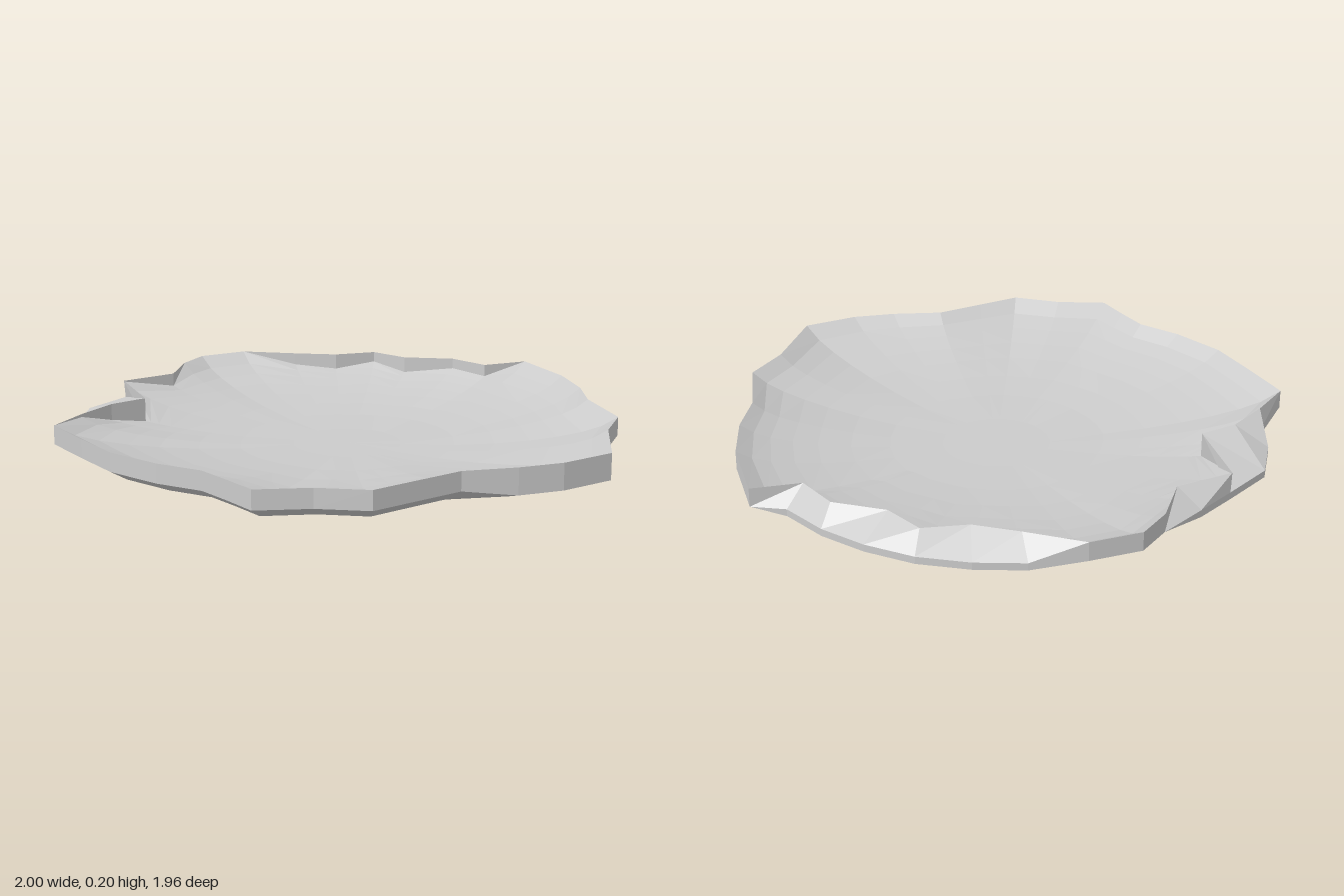
import * as THREE from 'three';

const material = new THREE.MeshStandardMaterial({ color: 0xcccccc, flatShading: true, side: THREE.DoubleSide });
const TOP = 0.2, LIP = 0.135, THICKNESS = TOP - LIP;

// Broken edge, clockwise from above: lower x, z and, where it is chipped, upper x, z
const edge = [
  [1, -0.12], [0.96, 0.03], [0.89, 0.2], [0.895, 0.38], [0.9, 0.54], [0.78, 0.67], [0.69, 0.83],
  [0.56, 0.835], [0.43, 0.845], [0.28, 0.92], [0.08, 0.975], [-0.12, 0.975], [-0.33, 0.97],
  [-0.43, 0.83, -0.42, 0.82], [-0.58, 0.75, -0.49, 0.67], [-0.72, 0.64, -0.5, 0.53],
  [-0.8, 0.45, -0.79, 0.46], [-0.86, 0.3, -0.79, 0.25], [-0.93, 0.12], [-1, 0], [-0.98, -0.18],
  [-0.91, -0.35, -0.83, -0.33], [-0.83, -0.5, -0.72, -0.45], [-0.72, -0.64, -0.67, -0.6],
  [-0.58, -0.75, -0.52, -0.64], [-0.43, -0.83, -0.39, -0.78], [-0.26, -0.88, -0.23, -0.81],
  [-0.19, -0.98], [0.08, -0.93], [0.27, -0.85], [0.42, -0.75], [0.67, -0.66], [0.78, -0.51], [1, -0.32],
].map(([x, z, ux = x, uz = z]) => ({
  lower: [x, z], upper: [ux, uz], radius: Math.hypot(x, z),
  curl: ux !== x || x > 0.95 ? 0 : 0.025, // the deepest parts of the edge do not curl up
}));

// Skin a list of equally long closed rings of points
function loft(name, rings) {
  const n = rings[0].length, index = [];
  for (let r = 0; r < rings.length - 1; r++) {
    for (let i = 0; i < n; i++) {
      const a = r * n + i, b = r * n + (i + 1) % n;
      index.push(a, b, a + n, b, b + n, a + n);
    }
  }
  const geometry = new THREE.BufferGeometry();
  geometry.setAttribute('position', new THREE.Float32BufferAttribute(rings.flat(2), 3));
  geometry.setIndex(index);
  geometry.computeVertexNormals();
  const mesh = new THREE.Mesh(geometry, material);
  mesh.name = name;
  return mesh;
}

// Shallow dish: round in the middle, blending into the upper or lower outline
function dishRings(side, lift) {
  return [0.001, 0.2, 0.4, 0.55, 0.68, 0.78, 0.87, 0.94, 1].map((t) => edge.map((point) => {
    const [x, z] = point[side];
    const reach = Math.hypot(x, z);
    const r = t * THREE.MathUtils.lerp(0.95, reach, t * t);
    const s = Math.min(1, r / point.radius);
    const height = 0.11 * Math.pow(s, 2.8) + (side === 'upper' ? 0.025 : point.curl) * Math.pow(s, 20);
    return [x * r / reach, lift + height, z * r / reach];
  }));
}

export function createModel() {
  const group = new THREE.Group();
  group.name = 'brokenShallowDish';

  const under = dishRings('lower', 0);
  const inside = dishRings('upper', THICKNESS);
  group.add(loft('underside', under), loft('inside', inside));

  // Edge wall: short upright lip, slope over the chips, then a step down to the inside
  const lip = edge.map(({ lower: [x, z] }) => [x, LIP, z]);
  const crest = edge.map(({ upper: [x, z] }) => [x, TOP, z]);
  group.add(loft('brokenEdge', [under.at(-1), lip, crest, inside.at(-1)]));

  return group;
}
